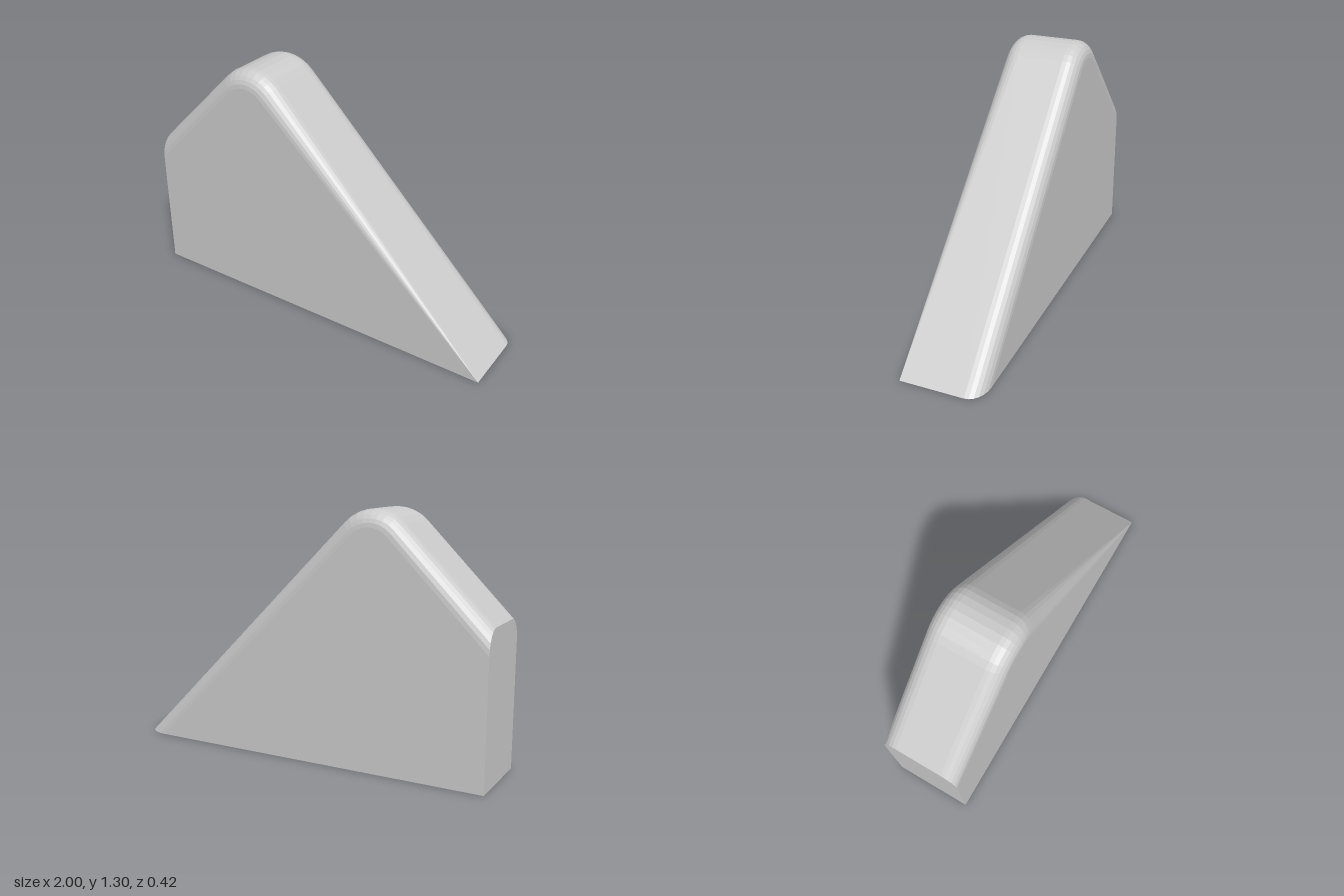
import * as THREE from 'three';

const HALF = 0.21;    // half thickness
const FILLET = 0.085; // edge rounding radius
const PEAK = { x: -0.39, y: 1.08, r: 0.22 };
const ARC_STEPS = 8, FILLET_STEPS = 6;

// Ridge stations from left end to toe: point, inward direction, front fillet radius
function ridgeStations() {
  const list = [{ x: -1, y: 0.78, dx: 0, dy: -Math.SQRT2, front: FILLET }];
  for (let i = 0; i <= ARC_STEPS; i++) {
    const a = Math.PI * (0.75 - 0.5 * i / ARC_STEPS);
    const c = Math.cos(a), s = Math.sin(a);
    list.push({ x: PEAK.x + PEAK.r * c, y: PEAK.y + PEAK.r * s, dx: -c, dy: -s, front: FILLET });
  }
  // The front rounding fades out at the toe
  list.push({ x: 1, y: 0, dx: -Math.SQRT2, dy: 0, front: 0 });
  return list;
}

// Cross-section over the ridge, from the front face to the back face
function section(st) {
  const corner = (radius, side) => Array.from({ length: FILLET_STEPS + 1 }, (_, k) => {
    const a = Math.PI / 2 * k / FILLET_STEPS;
    const inset = radius * (1 - Math.sin(a));
    return [st.x + st.dx * inset, st.y + st.dy * inset, side * (HALF - radius * (1 - Math.cos(a)))];
  });
  return [...corner(st.front, 1), ...corner(FILLET, -1).reverse()];
}

function wedgeGeometry() {
  const rows = ridgeStations().map(section);
  const n = rows[0].length - 1;
  const first = rows[0], last = rows[rows.length - 1];
  const F = [-1, 0, HALF], B = [-1, 0, -HALF];
  const pos = [];
  const tri = (...pts) => pts.forEach(p => pos.push(...p));

  for (let i = 0; i < rows.length - 1; i++) {
    const p = rows[i], q = rows[i + 1];
    // Rounded top surface
    for (let j = 0; j < n; j++) {
      tri(p[j], q[j], q[j + 1]);
      tri(p[j], q[j + 1], p[j + 1]);
    }
    // Front and back faces
    tri(F, q[0], p[0]);
    tri(B, p[n], q[n]);
  }
  // Left end and underside
  for (let j = 0; j < n; j++) {
    tri(F, first[j], first[j + 1]);
    tri(F, last[j + 1], last[j]);
  }
  tri(F, first[n], B);
  tri(F, B, last[n]);

  const geo = new THREE.BufferGeometry();
  geo.setAttribute('position', new THREE.Float32BufferAttribute(pos, 3));
  geo.computeVertexNormals();
  return geo;
}

export function createModel() {
  const group = new THREE.Group();
  group.name = 'roundedWedge';
  const body = new THREE.Mesh(wedgeGeometry(),
    new THREE.MeshStandardMaterial({ color: 0xcccccc, flatShading: true }));
  body.name = 'wedgeBody';
  group.add(body);
  return group;
}
